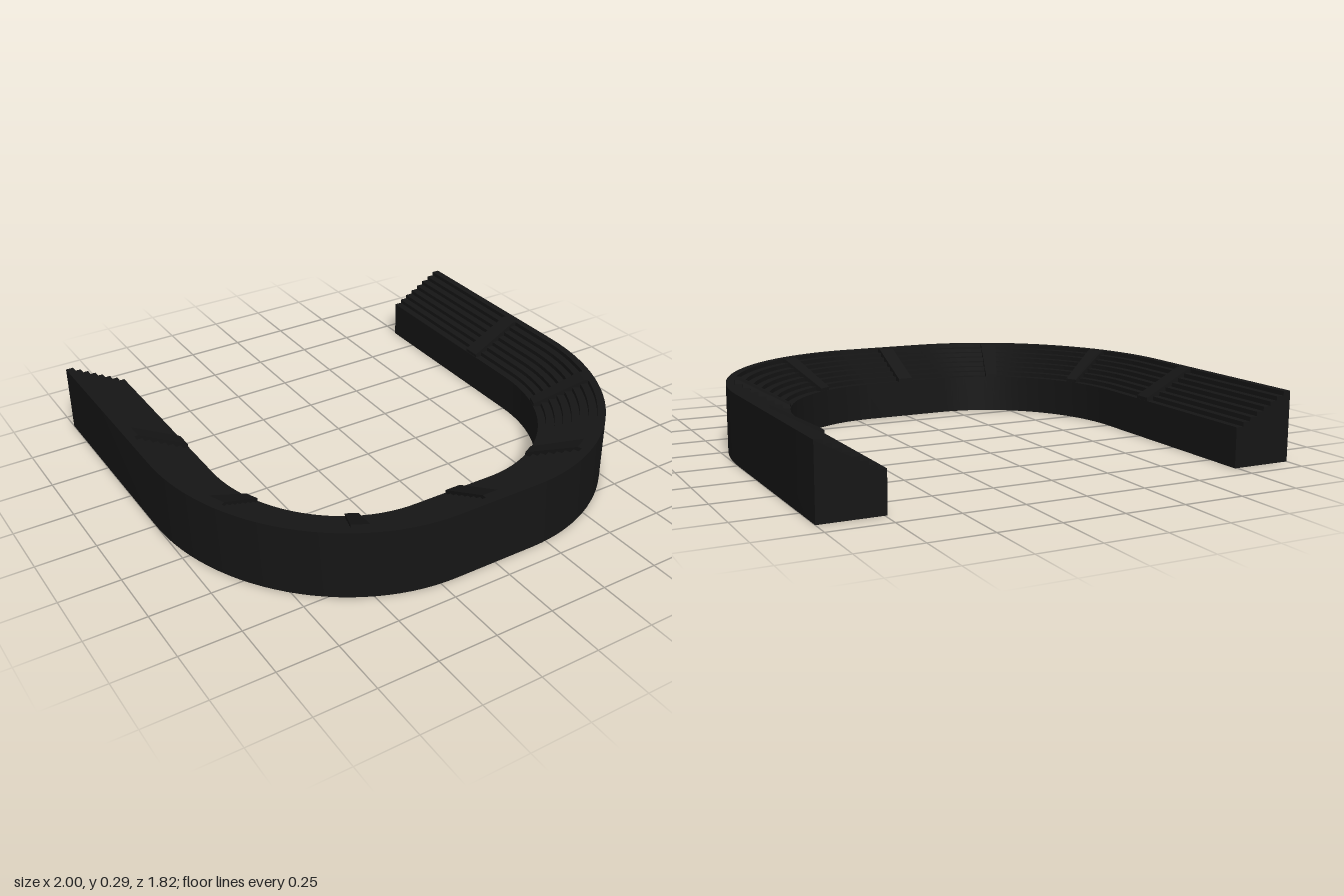
import * as THREE from 'three';
import { toCreasedNormals } from 'three/addons/utils/BufferGeometryUtils.js';

const CX = 0.18;                       // centre of each rounded corner
const INNER = { rx: 0.56, rz: 0.62 };
const OUTER = { rx: 0.82, rz: 0.91 };
const BACK = -0.91, LOW = 0.165, HIGH = 0.29, ROWS = 8;

// Stations along the horseshoe: each gives an inner and outer [x, z] point
const onLeg = (side, z) => [INNER, OUTER].map(e => [side * (CX + e.rx), z]);
const onFront = x => [INNER, OUTER].map(e => [x, e.rz]);
const onCorner = (side, deg) => [INNER, OUTER].map(e => {
  const a = THREE.MathUtils.degToRad(deg);
  return [side * (CX + e.rx * Math.cos(a)), e.rz * Math.sin(a)];
});

// Sweep a counter-clockwise profile of [t, y] (t: 0 inner, 1 outer) through the stations
function sweep(stations, profile) {
  const pos = [];
  const point = ([a, b], [t, y]) => [a[0] + (b[0] - a[0]) * t, y, a[1] + (b[1] - a[1]) * t];
  const tri = (...pts) => pts.forEach(p => pos.push(...p));
  for (let s = 0; s < stations.length - 1; s++) {
    profile.forEach((p, i) => {
      const q = profile[(i + 1) % profile.length];
      const a = point(stations[s], p), b = point(stations[s], q);
      const c = point(stations[s + 1], q), d = point(stations[s + 1], p);
      tri(a, b, c);
      tri(a, c, d);
    });
  }
  // end caps
  const first = stations[0], last = stations[stations.length - 1];
  const faces = THREE.ShapeUtils.triangulateShape(profile.map(p => new THREE.Vector2(...p)), []);
  for (const [i, j, k] of faces) {
    tri(point(first, profile[k]), point(first, profile[j]), point(first, profile[i]));
    tri(point(last, profile[i]), point(last, profile[j]), point(last, profile[k]));
  }
  const geo = new THREE.BufferGeometry();
  geo.setAttribute('position', new THREE.Float32BufferAttribute(pos, 3));
  return toCreasedNormals(geo, 0.35);
}

export function createModel() {
  const group = new THREE.Group();
  const material = new THREE.MeshStandardMaterial({ color: 0x151515 });
  const add = (name, stations, profile) => {
    const mesh = new THREE.Mesh(sweep(stations, profile), material);
    mesh.name = name;
    group.add(mesh);
  };

  // Stepped seating: flat base, tall outer wall, rows descending inward
  const rise = (HIGH - LOW) / (ROWS - 1);
  const rows = [[0, 0], [1, 0]];
  for (let i = ROWS - 1; i >= 0; i--) {
    const y = LOW + i * rise;
    rows.push([(i + 1) / ROWS, y], [i / ROWS, y]);
  }
  const SEG = 28;
  const path = [onLeg(1, BACK)];
  for (let i = 0; i <= SEG; i++) path.push(onCorner(1, (90 * i) / SEG));
  for (let i = SEG; i >= 0; i--) path.push(onCorner(-1, (90 * i) / SEG));
  path.push(onLeg(-1, BACK));
  add('seatingRows', path, rows);

  // Smooth aisles lying slightly proud of the rows
  const aisle = [[0.005, 0.1], [0.995, 0.1], [0.995, HIGH], [0.81, HIGH], [0.005, LOW + 0.014]];
  add('frontAisle', [onFront(0.034), onFront(-0.034)], aisle);
  for (const side of [1, -1]) {
    const label = side > 0 ? 'left' : 'right';
    const ordered = list => (side > 0 ? list : list.reverse());
    add(label + 'LegAisle', ordered([onLeg(side, -0.3), onLeg(side, -0.225)]), aisle);
    [24, 64].forEach((deg, i) => {
      const ends = [-2.6, 0, 2.6].map(d => onCorner(side, deg + d));
      add(label + 'CornerAisle' + (i + 1), ordered(ends), aisle);
    });
  }
  return group;
}
